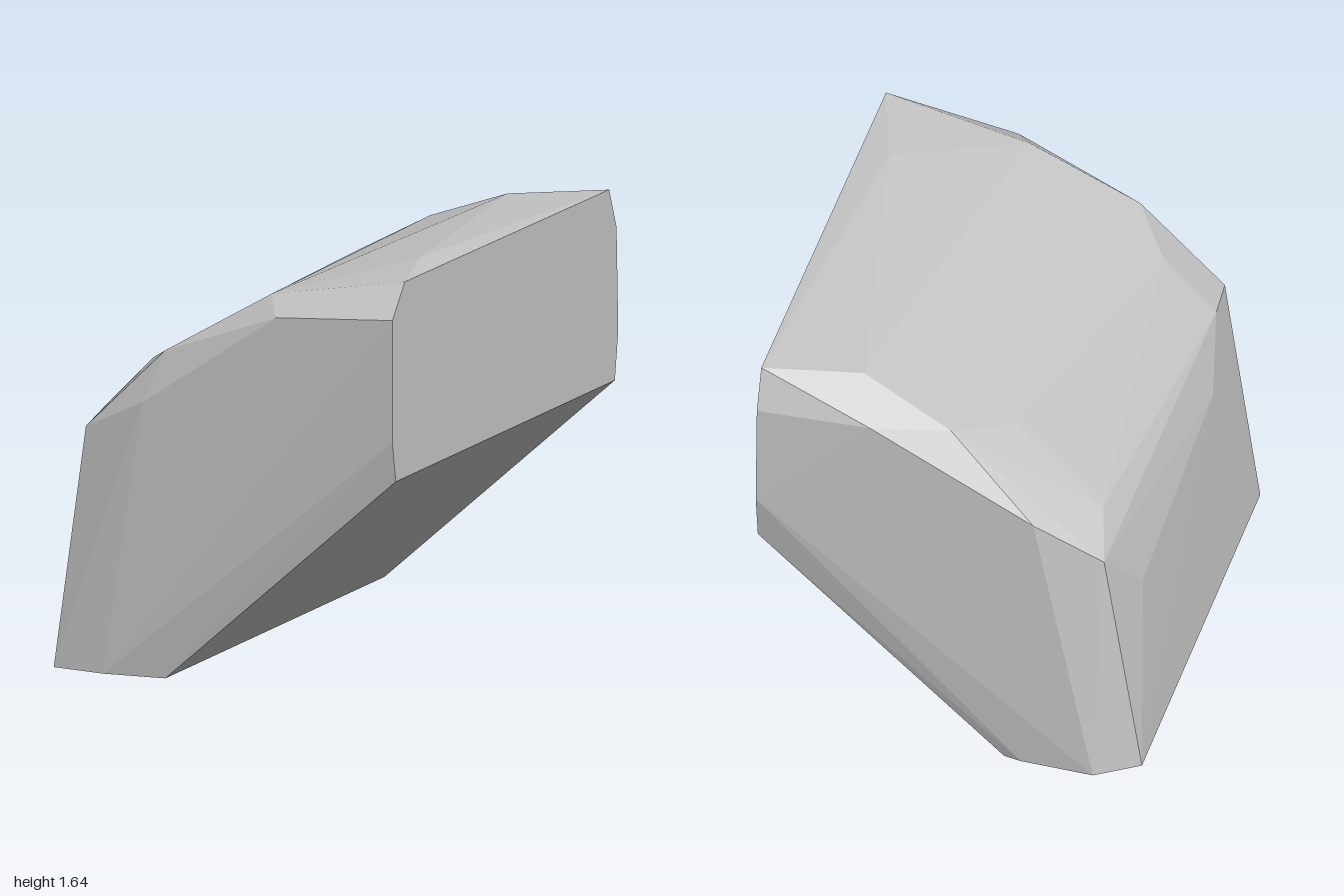
import * as THREE from 'three';
import { ConvexGeometry } from 'three/addons/geometries/ConvexGeometry.js';

export function createModel() {
  const group = new THREE.Group();
  group.name = 'rockChunk';
  const stone = new THREE.MeshStandardMaterial({ color: 0xc6c6c6 });
  stone.name = 'grey stone';

  // Corners of the chipped block, grouped by the side they belong to: [x, y, z]
  const cutFace = [
    [0.75, 0.87, 0.97], [0.75, 1.03, 1], [0.75, 1.51, 1], [0.75, 1.64, 0.89],
    [0.75, 1.63, -0.92], [0.75, 1.47, -0.985], [0.75, 1.06, -1], [0.75, 0.87, -0.97],
  ];
  const base = [
    [-0.23, 0, 0.97], [-0.48, 0, 1], [-0.7, 0, 0.98], [-0.735, 0, 0.9],
    [-0.755, 0, -0.89], [-0.59, 0, -1], [-0.3, 0, -0.985], [-0.23, 0, -0.97],
  ];
  const frontShoulder = [
    [-0.585, 0.95, 0.935], [-0.25, 1.28, 0.93], [0.17, 1.53, 0.865],
    [0.25, 1.47, 0.99], [-0.32, 1.08, 0.985],
  ];
  const backShoulder = [
    [-0.61, 0.96, -0.91], [-0.35, 1.14, -0.99], [0, 1.46, -0.9],
    [0.3, 1.48, -0.99], [0.37, 1.6, -0.81],
  ];
  const domedTop = [
    [-0.55, 1.06, -0.7], [-0.19, 1.355, -0.64], [0.08, 1.49, -0.1],
    [-0.61, 0.98, 0.72], [-0.4, 1.195, 0.72], [0.63, 1.645, 0.5],
  ];
  const bulgingSide = [[-0.685, 0.68, -0.62], [-0.67, 0.79, 0.45]];

  const corners = [
    ...cutFace, ...base, ...frontShoulder, ...backShoulder, ...domedTop, ...bulgingSide,
  ].map((p) => new THREE.Vector3(...p));

  const rock = new THREE.Mesh(new ConvexGeometry(corners), stone);
  rock.name = 'rock';
  group.add(rock);
  return group;
}
